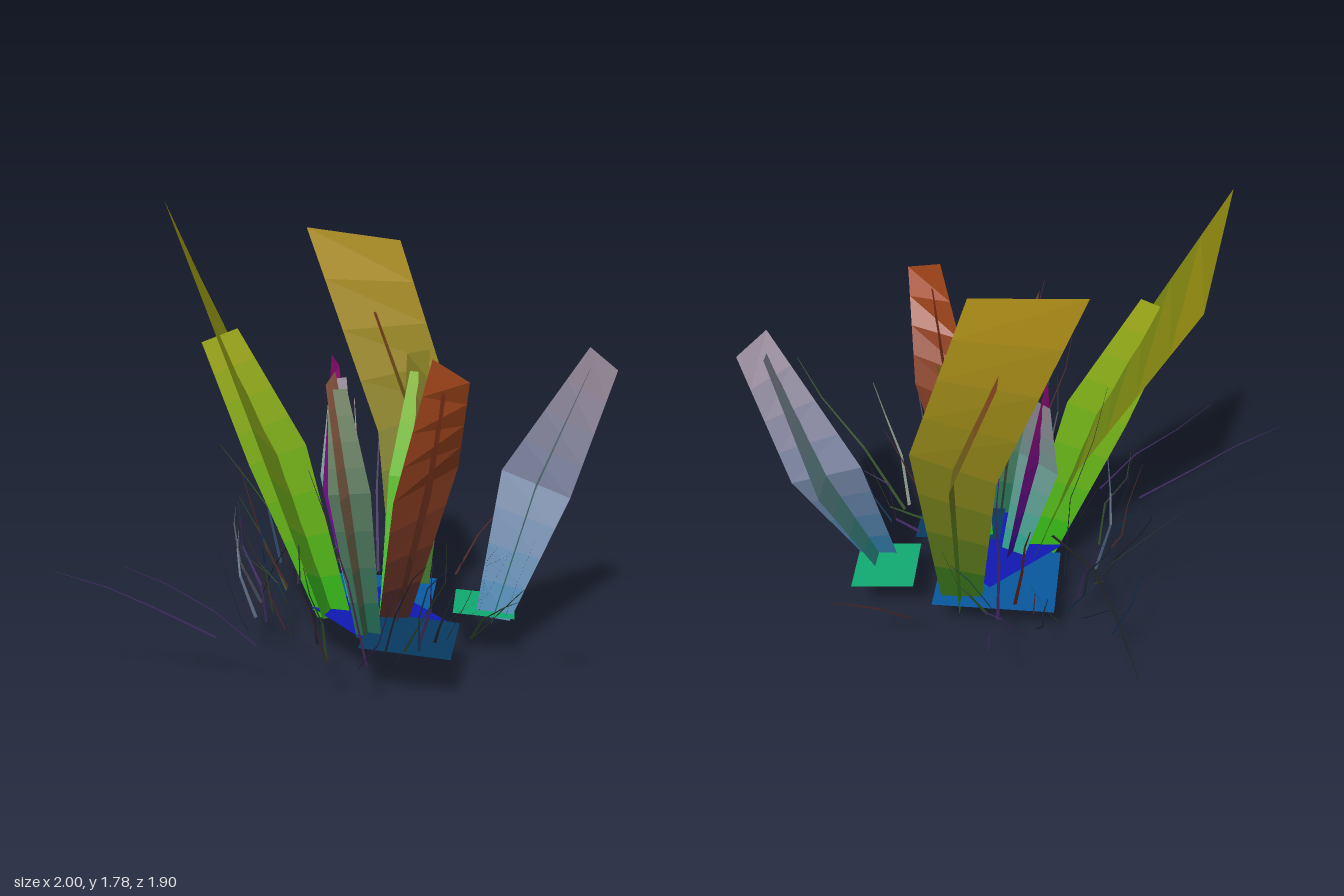
import * as THREE from 'three';

const V = (x, y, z) => new THREE.Vector3(x, y, z);
const material = (color) => new THREE.MeshStandardMaterial({ color, side: THREE.DoubleSide, flatShading: true });

// Thin two-sided surface between two rails of points
function strip(name, left, right, color) {
  const points = [], index = [];
  left.forEach((p, i) => {
    points.push(p, right[i]);
    const k = i * 2;
    if (i) index.push(k - 2, k - 1, k + 1, k - 2, k + 1, k);
  });
  const geo = new THREE.BufferGeometry().setFromPoints(points);
  geo.setIndex(index);
  geo.computeVertexNormals();
  const mesh = new THREE.Mesh(geo, material(color));
  mesh.name = name;
  return mesh;
}

// Two-segment blade from centres and half-widths, cut into colour bands
function blade(name, centres, halves, [low, high]) {
  const group = new THREE.Group();
  group.name = name;
  const a = new THREE.Color(low), b = new THREE.Color(high), bands = 4;
  const edge = (s, t, sign) => centres[s].clone().lerp(centres[s + 1], t)
    .addScaledVector(halves[s].clone().lerp(halves[s + 1], t), sign);
  for (let i = 0; i < 2 * bands; i++) {
    const s = Math.floor(i / bands), t = (i % bands) / bands, u = t + 1 / bands;
    const color = a.clone().lerp(b, (i + 0.5) / (2 * bands));
    group.add(strip(name + 'Band', [edge(s, t, 1), edge(s, u, 1)], [edge(s, t, -1), edge(s, u, -1)], color));
  }
  return group;
}

// Broad blade plus a shorter one crossing it at right angles
function leaf(base, mid, tip, midHalf, tipHalf, colors, cross) {
  const group = new THREE.Group();
  group.name = 'leaf';
  const flatten = (v, k) => V(v.x * k, v.y * k * 0.3, v.z * k);
  group.add(blade('broadBlade', [base, mid, tip], [flatten(midHalf, 0.5), midHalf, tipHalf], colors));
  const out = midHalf.clone().cross(tip.clone().sub(base)).setLength(cross.mid / 2);
  const tipOut = out.clone().setLength(cross.tipWidth / 2);
  group.add(blade('crossBlade', [base, mid, cross.tip], [flatten(out, 0.6), out, tipOut], cross.colors));
  return group;
}

// Nearly flat leaf lying at the root
function groundLeaf(color, x, z, width, depth, turn) {
  const geo = new THREE.PlaneGeometry(width, depth).rotateX(-Math.PI / 2 + 0.06).rotateY(turn);
  const mesh = new THREE.Mesh(geo, material(color));
  mesh.position.set(x, 0.195, z);
  mesh.name = 'groundLeaf';
  return mesh;
}

// Thin ribbon narrowing to a point
function ribbon(points, color) {
  const last = points.length - 1;
  const d = points[last].clone().sub(points[0]);
  const side = V(-d.z, 0.1, d.x).normalize();
  const rail = (s) => points.map((p, i) => p.clone().addScaledVector(side, s * 0.007 * (1 - 0.8 * i / last)));
  return strip('grassStalk', rail(-1), rail(1), color);
}

let seed = 7;
const rand = () => (seed = (seed * 16807) % 2147483647) / 2147483647;

// Long kinked stalk from the ground to a tip, rising early and then leaning out
function stalk(color, x, z, tip) {
  const points = [0, 0.35, 0.7, 1].map((t) => {
    const kink = t * (1 - t) * 0.25;
    return V(x + (tip.x - x) * t + (rand() - 0.5) * kink, 0.2 + (tip.y - 0.2) * Math.pow(t, 0.8),
      z + (tip.z - z) * t + (rand() - 0.5) * kink);
  });
  return ribbon(points, color);
}

// Short crooked stalk growing outward at an angle around the clump
function shortStalk(color, angle) {
  const r = 0.34 + rand() * 0.18;
  const p = V(0.1 + Math.cos(angle) * r, 0.19, -0.04 + Math.sin(angle) * r);
  const points = [p.clone()];
  let turn = angle + (rand() - 0.5) * 2.4;
  for (let k = 0; k < 3; k++) {
    const step = 0.02 + rand() * 0.08;
    p.add(V(Math.cos(turn) * step, 0.05 + rand() * 0.14, Math.sin(turn) * step));
    turn += (rand() - 0.5) * 1.6;
    points.push(p.clone());
  }
  return ribbon(points, color);
}

export function createModel() {
  const model = new THREE.Group();
  model.name = 'plantClump';

  // Big leaves: base, middle, tip, half-widths at middle and tip, then the crossing blade
  model.add(
    leaf(V(0.01, 0.17, -0.1), V(-0.16, 0.83, -0.23), V(-0.32, 1.61, -0.605),
      V(-0.16, 0.15, 0.07), V(-0.11, 0.17, 0.055), [0x109018, 0x988c10],
      { tip: V(-0.32, 1.29, -0.365), mid: 0.24, tipWidth: 0.15, colors: [0x20b818, 0xa8b018] }),
    leaf(V(0.42, 0.17, -0.13), V(0.49, 0.88, -0.2), V(0.35, 1.61, -0.43),
      V(0.11, 0.06, 0.1), V(0.12, -0.02, 0.15), [0x106818, 0xb89418],
      { tip: V(0.4, 1.305, -0.345), mid: 0.24, tipWidth: 0.15, colors: [0x208818, 0x904020] }),
    leaf(V(0.5, 0.17, 0.28), V(0.71, 0.68, 0.28), V(0.83, 1.2, 0.49),
      V(0.09, -0.05, 0.1), V(0.052, -0.047, 0.025), [0x1878a8, 0xa898a8],
      { tip: V(0.8, 1.16, 0.45), mid: 0.26, tipWidth: 0.07, colors: [0x188078, 0x707080] }),
    leaf(V(0.15, 0.18, 0.09), V(0.27, 0.73, 0.05), V(0.42, 1.18, -0.1),
      V(-0.05, 0.08, 0.12), V(0, 0.02, 0.07), [0x301848, 0x888020],
      { tip: V(0.39, 1.11, -0.06), mid: 0.18, tipWidth: 0.07, colors: [0x20c830, 0x88b828] }),
    leaf(V(0.11, 0.18, -0.06), V(0.1, 0.71, -0.2), V(0.18, 1.14, -0.32),
      V(-0.1, -0.03, 0.04), V(-0.036, 0.03, 0.025), [0x2010a0, 0xb01088],
      { tip: V(0.18, 1.07, -0.3), mid: 0.17, tipWidth: 0.08, colors: [0x20b098, 0xa090a0] }),
    leaf(V(0.15, 0.19, 0.1), V(0.155, 0.78, 0.27), V(0.09, 1.25, 0.47),
      V(-0.095, -0.07, -0.07), V(-0.02, 0.03, -0.075), [0x382020, 0xa84818],
      { tip: V(0.09, 1.17, 0.43), mid: 0.15, tipWidth: 0.07, colors: [0x302018, 0x803018] }),
    leaf(V(-0.02, 0.18, 0.16), V(-0.12, 0.77, 0.17), V(-0.15, 1.19, 0.1),
      V(-0.1, 0.01, 0.08), V(-0.05, -0.01, 0.04), [0x185840, 0xa86850],
      { tip: V(-0.135, 1.15, 0.12), mid: 0.16, tipWidth: 0.07, colors: [0x106850, 0x809070] }),
  );

  model.add(
    groundLeaf(0x0858a0, 0.25, -0.14, 0.46, 0.36, -0.8),
    groundLeaf(0x1018b0, 0.13, 0.03, 0.37, 0.4, 0),
    groundLeaf(0x083860, 0.1, 0.26, 0.34, 0.34, 0.75),
    groundLeaf(0x10a870, 0.53, 0.2, 0.25, 0.24, 0.8),
  );

  // Long stalks reaching out on all sides
  model.add(
    stalk(0x402860, -0.5, -0.15, V(-1, 0.49, -0.44)),
    stalk(0x402860, -0.42, 0, V(-0.84, 0.545, -0.2)),
    stalk(0x502828, 0.64, -0.1, V(1, 0.53, -0.14)),
    stalk(0x305028, 0.28, 0.42, V(0.4, 0.73, 0.95)),
    stalk(0x305028, 0.25, 0.43, V(0.11, 0.53, 0.85)),
    stalk(0x202838, 0.15, -0.52, V(0.32, 0.62, -0.95)),
    stalk(0x183858, 0.13, -0.65, V(0.15, 0.71, -0.88)),
    stalk(0x402860, 0.48, -0.35, V(0.71, 0.5, -0.65)),
    stalk(0x305028, 0.1, -0.45, V(-0.09, 0.74, -0.76)),
    stalk(0x502858, -0.2, 0.38, V(-0.48, 0.99, 0.43)),
    stalk(0x502828, -0.3, 0.28, V(-0.52, 0.77, 0.3)),
    stalk(0x602018, 0.3, -0.3, V(0.5, 0.88, -0.62)),
    stalk(0x202838, 0.05, -0.3, V(-0.08, 1.05, -0.36)),
    stalk(0x402860, 0.4, -0.32, V(0.49, 0.99, -0.45)),
  );

  // One stalk bends over the edge and hangs below the rest
  model.add(ribbon([V(0.07, 0.38, -0.25), V(0.07, 0.37, -0.48), V(0.07, 0.2, -0.62), V(0.07, 0, -0.74)], 0x202020));

  // Short grass around the leaves, sparse on the left side
  const tints = [0x402860, 0x183858, 0x305028, 0x502828, 0x202838];
  const count = 38;
  for (let i = 0; i < count; i++) {
    model.add(shortStalk(tints[i % tints.length], 0.9 + (i + rand() * 0.8) / count * 4.8));
  }
  return model;
}
